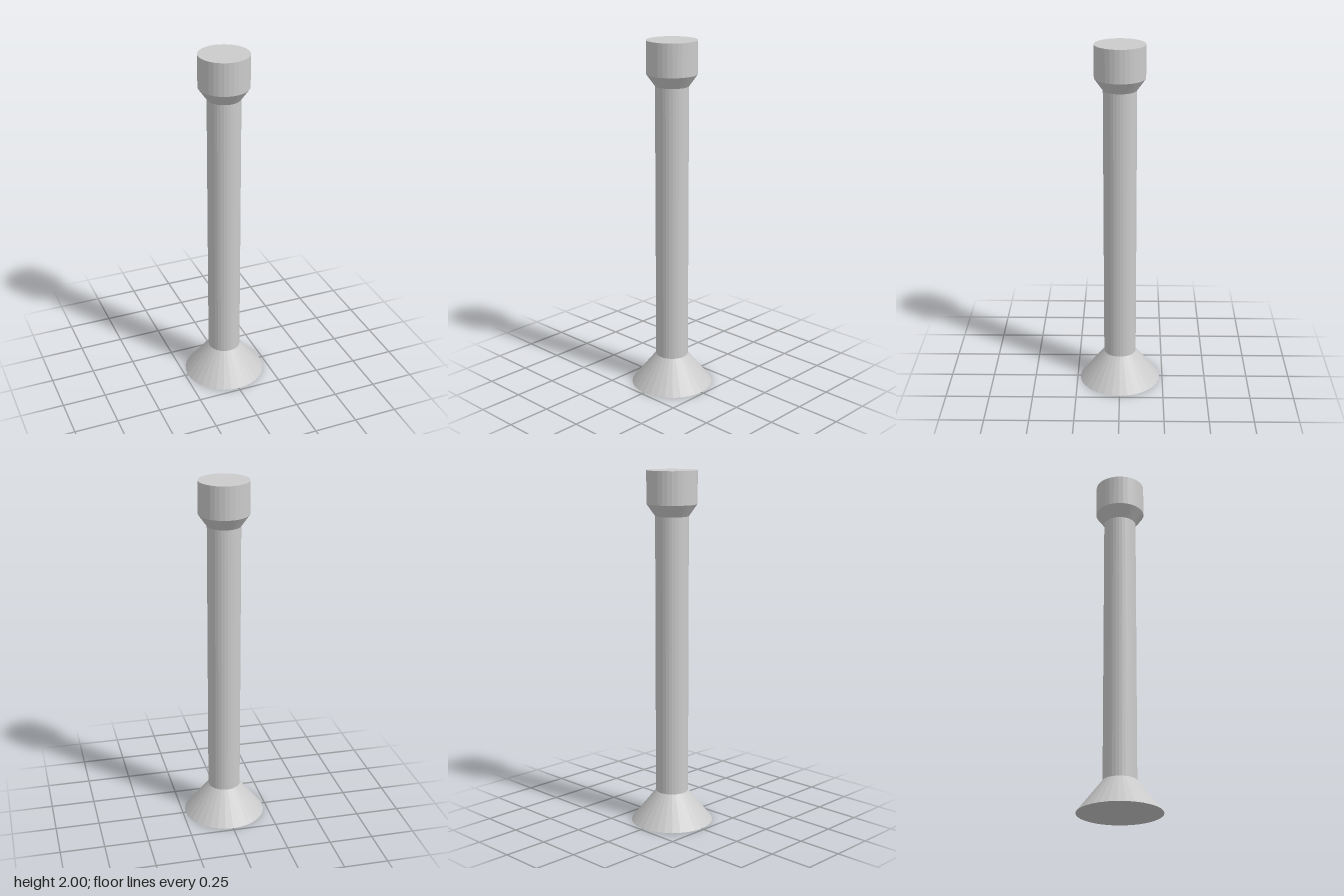
import * as THREE from 'three';

const SIDES = 32;

export function createModel() {
  const group = new THREE.Group();
  group.name = 'column';
  const material = new THREE.MeshStandardMaterial({ color: 0xcccccc, flatShading: true });

  // One faceted section of revolution; profile points are [radius, height], bottom to top
  const addSection = (name, profile) => {
    const points = profile.map(([r, y]) => new THREE.Vector2(r, y));
    const mesh = new THREE.Mesh(new THREE.LatheGeometry(points, SIDES), material);
    mesh.name = name;
    group.add(mesh);
  };

  // Flared foot with a closed underside
  addSection('base', [[0, 0], [0.233, 0], [0.0925, 0.178]]);
  // Straight shaft
  addSection('shaft', [[0.0925, 0.178], [0.0925, 1.751]]);
  // Tapered collar widening to the head
  addSection('collar', [[0.0925, 1.751], [0.14, 1.817]]);
  // Cylindrical head with a flat top
  addSection('head', [[0.14, 1.817], [0.14, 2], [0, 2]]);

  return group;
}
